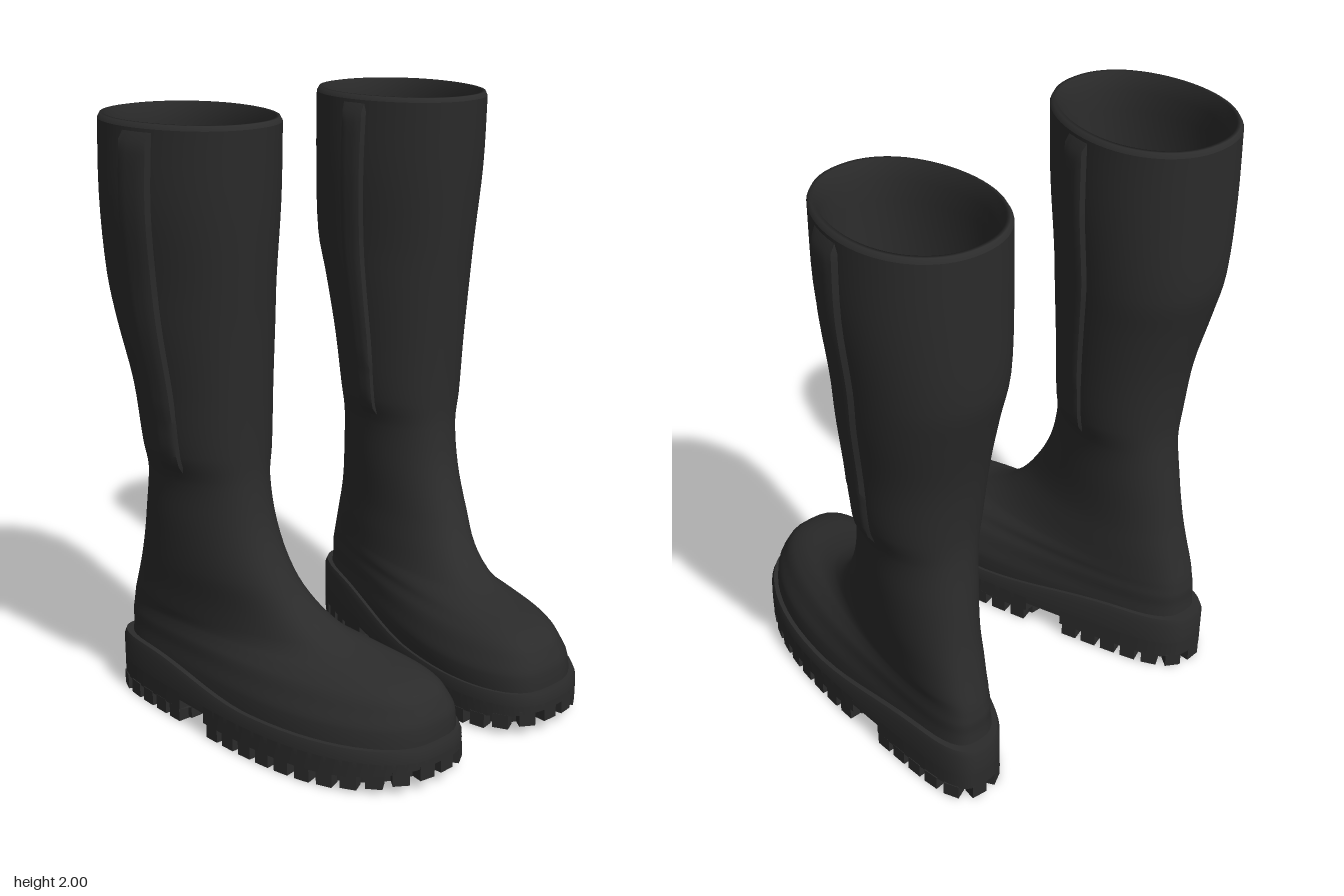
import * as THREE from 'three';
import { toCreasedNormals } from 'three/addons/utils/BufferGeometryUtils.js';

// Horizontal slices of the boot: height, back x/z, front x/z, half width at heel and toe
const slices = [
  [0.10, -0.615, 0.475, 0.625, 0.27, 0.165, 0.265],
  [0.20, -0.60, 0.47, 0.62, 0.265, 0.165, 0.26],
  [0.25, -0.595, 0.47, 0.60, 0.265, 0.16, 0.235],
  [0.29, -0.595, 0.47, 0.57, 0.27, 0.16, 0.21],
  [0.32, -0.59, 0.47, 0.50, 0.28, 0.155, 0.18],
  [0.345, -0.585, 0.47, 0.36, 0.30, 0.15, 0.165],
  [0.38, -0.575, 0.47, 0.25, 0.33, 0.15, 0.15],
  [0.45, -0.555, 0.465, 0.145, 0.365, 0.15, 0.145],
  [0.55, -0.53, 0.46, 0.07, 0.40, 0.152, 0.148],
  [0.70, -0.505, 0.45, 0.00, 0.42, 0.158, 0.155],
  [0.85, -0.485, 0.44, -0.03, 0.43, 0.165, 0.16],
  [0.95, -0.483, 0.44, -0.033, 0.435, 0.19, 0.185],
  [1.15, -0.505, 0.44, -0.025, 0.44, 0.21, 0.20],
  [1.35, -0.55, 0.45, -0.013, 0.445, 0.235, 0.22],
  [1.50, -0.585, 0.45, 0.00, 0.45, 0.25, 0.23],
  [1.75, -0.59, 0.455, 0.022, 0.455, 0.265, 0.25],
  [2.00, -0.59, 0.455, 0.04, 0.455, 0.26, 0.245],
];

// Smooth interpolation between slices
function sliceAt(y) {
  const n = slices.length;
  let i = 0;
  while (i < n - 2 && y > slices[i + 1][0]) i++;
  const a = slices[i], b = slices[i + 1], h = b[0] - a[0];
  const u = THREE.MathUtils.clamp((y - a[0]) / h, 0, 1);
  const slope = (j, k) => {
    const p = slices[Math.max(j - 1, 0)], q = slices[Math.min(j + 1, n - 1)];
    return (q[k] - p[k]) / (q[0] - p[0]) * h;
  };
  return a.map((v, k) => {
    const u2 = u * u, u3 = u2 * u;
    return (2 * u3 - 3 * u2 + 1) * v + (u3 - 2 * u2 + u) * slope(i, k)
      + (3 * u2 - 2 * u3) * b[k] + (u3 - u2) * slope(i + 1, k);
  });
}

// Point on a slice outline: angle 0 is the heel, PI the toe; off grows the outline
function outline(angle, y, off = 0) {
  const [, xb, zb, xf, zf, wHeel, wToe] = sliceAt(y);
  const t = (1 - Math.cos(angle)) / 2, s = Math.sin(angle);
  const power = THREE.MathUtils.lerp(0.68, 0.92, THREE.MathUtils.smoothstep(y, 0.25, 0.7));
  const width = THREE.MathUtils.lerp(wHeel, wToe, THREE.MathUtils.smoothstep(t, 0.1, 0.9)) + off;
  return {
    x: THREE.MathUtils.lerp(xb - off, xf + off, t),
    z: THREE.MathUtils.lerp(zb, zf, t) + Math.sign(s) * Math.abs(s) ** power * width,
  };
}

const range = (a, b, n) => Array.from({ length: n + 1 }, (_, i) => a + (b - a) * i / n);
const fullTurn = range(0, Math.PI * 2, 64).slice(0, 64);

// Ring of points; height may be a number or a rule of x
function ring(angles, y, off, height = y) {
  return angles.map((a) => {
    const p = outline(a, y, off);
    return new THREE.Vector3(p.x, typeof height === 'function' ? height(p.x) : height, p.z);
  });
}

// Skin between rings, with optional caps on the first and last ring
function loft(rings, { closed = true, capStart = false, capEnd = false } = {}) {
  const n = rings[0].length, points = rings.flat(), index = [];
  for (let j = 0; j < rings.length - 1; j++) {
    for (let i = 0; i < (closed ? n : n - 1); i++) {
      const k = (i + 1) % n, a = j * n + i, b = j * n + k;
      index.push(a, b, b + n, a, b + n, a + n);
    }
  }
  const cap = (start, flip) => {
    const c = new THREE.Vector3();
    for (let i = 0; i < n; i++) c.addScaledVector(points[start + i], 1 / n);
    const m = points.push(c) - 1;
    for (let i = 0; i < n; i++) {
      const a = start + i, b = start + (i + 1) % n;
      index.push(m, flip ? b : a, flip ? a : b);
    }
  };
  if (capStart) cap(0, true);
  if (capEnd) cap((rings.length - 1) * n, false);
  const geo = new THREE.BufferGeometry().setFromPoints(points);
  geo.setIndex(index);
  return geo;
}

// Sole heights along the foot
const toeRise = (x) => Math.max(0, (x - 0.33) / 0.31) ** 2 * 0.045;
const soleTop = (x) => 0.15 + 0.06 * (1 - THREE.MathUtils.smoothstep(x, -0.45, 0.1));

function makeBoot(side, material) {
  const boot = new THREE.Group();
  const add = (geo, name, crease = 0.7) => {
    if (side < 0) {
      geo.scale(1, 1, -1);
      const ix = geo.index.array;
      for (let i = 0; i < ix.length; i += 3) [ix[i], ix[i + 1]] = [ix[i + 1], ix[i]];
    }
    geo.deleteAttribute('normal');
    geo.computeVertexNormals();
    const mesh = new THREE.Mesh(crease ? toCreasedNormals(geo, crease) : geo, material);
    mesh.name = name;
    boot.add(mesh);
  };

  // Foot and shaft
  const heights = [];
  for (let i = 0; i < slices.length - 1; i++) {
    heights.push(...range(slices[i][0], slices[i + 1][0], 4).slice(0, 4));
  }
  heights.push(1.985);
  add(loft(heights.filter((y) => y <= 1.985).map((y) => ring(fullTurn, y, 0))), 'upper', 0);

  // Rounded rim running into the hollow lining, closed by the footbed
  const lining = [ring(fullTurn, 1.985, 0), ring(fullTurn, 2, -0.008), ring(fullTurn, 2, -0.02)];
  const depths = heights.filter((y) => y >= 0.2 && y < 1.98).reverse();
  depths.forEach((y) => lining.push(ring(fullTurn, y, -0.03)));
  add(loft(lining), 'rimAndLining', 0);
  const bed = ring(fullTurn, 0.2, -0.03);
  add(loft([bed, bed.map((p) => p.clone())], { capEnd: true }), 'footbed');

  // Raised seam straps on both sides of the shaft
  for (const [from, to, name] of [[1.5, 1.95, 'outerSeamStrap'], [4.45, 4.78, 'innerSeamStrap']]) {
    const angles = range(from, to, 8);
    const rows = range(0.88, 1.985, 30).map((y, j) => angles.map((a, i) => {
      const edge = Math.min(i, 8 - i, j, 30 - j);
      const lift = [-0.006, 0.014, 0.018][Math.min(edge, 2)] * (y < 1.1 ? 0.7 : 1);
      const p = outline(a, y, lift);
      return new THREE.Vector3(p.x, y, p.z);
    }));
    add(loft(rows, { closed: false }), name);
  }

  // Midsole wrapped around the foot
  const under = (x) => 0.085 + toeRise(x) * 0.3;
  add(loft([
    ring(fullTurn, 0.1, 0.02, under),
    ring(fullTurn, 0.1, 0.02, (x) => soleTop(x) - 0.02),
    ring(fullTurn, 0.1, 0.012, soleTop),
    ring(fullTurn, 0.1, -0.03, soleTop),
  ], { capStart: true }), 'midsole');

  // Heel and forefoot blocks, each with a gap-toothed lug border
  const blocks = [[-1.18, 1.18, 'heel'], [1.39, Math.PI * 2 - 1.39, 'forefoot']];
  for (const [from, to, name] of blocks) {
    const angles = range(from, to, 48);
    add(loft([
      ring(angles, 0.1, -0.02, (x) => 0.01 + toeRise(x)),
      ring(angles, 0.1, -0.02, (x) => 0.05 + toeRise(x) * 0.8),
      ring(angles, 0.1, 0.02, (x) => 0.05 + toeRise(x) * 0.8),
      ring(angles, 0.1, 0.02, 0.11),
    ], { capStart: true }), name + 'Block', 0.5);

    const path = new THREE.CatmullRomCurve3(ring(range(from, to, 80), 0.1, -0.002, 0));
    const count = Math.round(path.getLength() / 0.078);
    for (let i = 0; i < count; i++) {
      const u = (i + 0.5) / count, p = path.getPointAt(u), d = path.getTangentAt(u);
      const lug = new THREE.BoxGeometry(0.054, 0.05, 0.042);
      lug.rotateY(Math.atan2(-d.z, d.x));
      lug.translate(p.x, 0.03 + toeRise(p.x), p.z);
      add(lug, name + 'Lug', 0.5);
    }
  }
  return boot;
}

export function createModel() {
  const model = new THREE.Group();
  model.name = 'pairOfBoots';
  const blackLeather = new THREE.MeshStandardMaterial({ color: 0x2b2b2b });
  blackLeather.name = 'blackLeather';
  for (const [side, name] of [[1, 'leftBoot'], [-1, 'rightBoot']]) {
    const boot = makeBoot(side, blackLeather);
    boot.name = name;
    model.add(boot);
  }
  return model;
}
